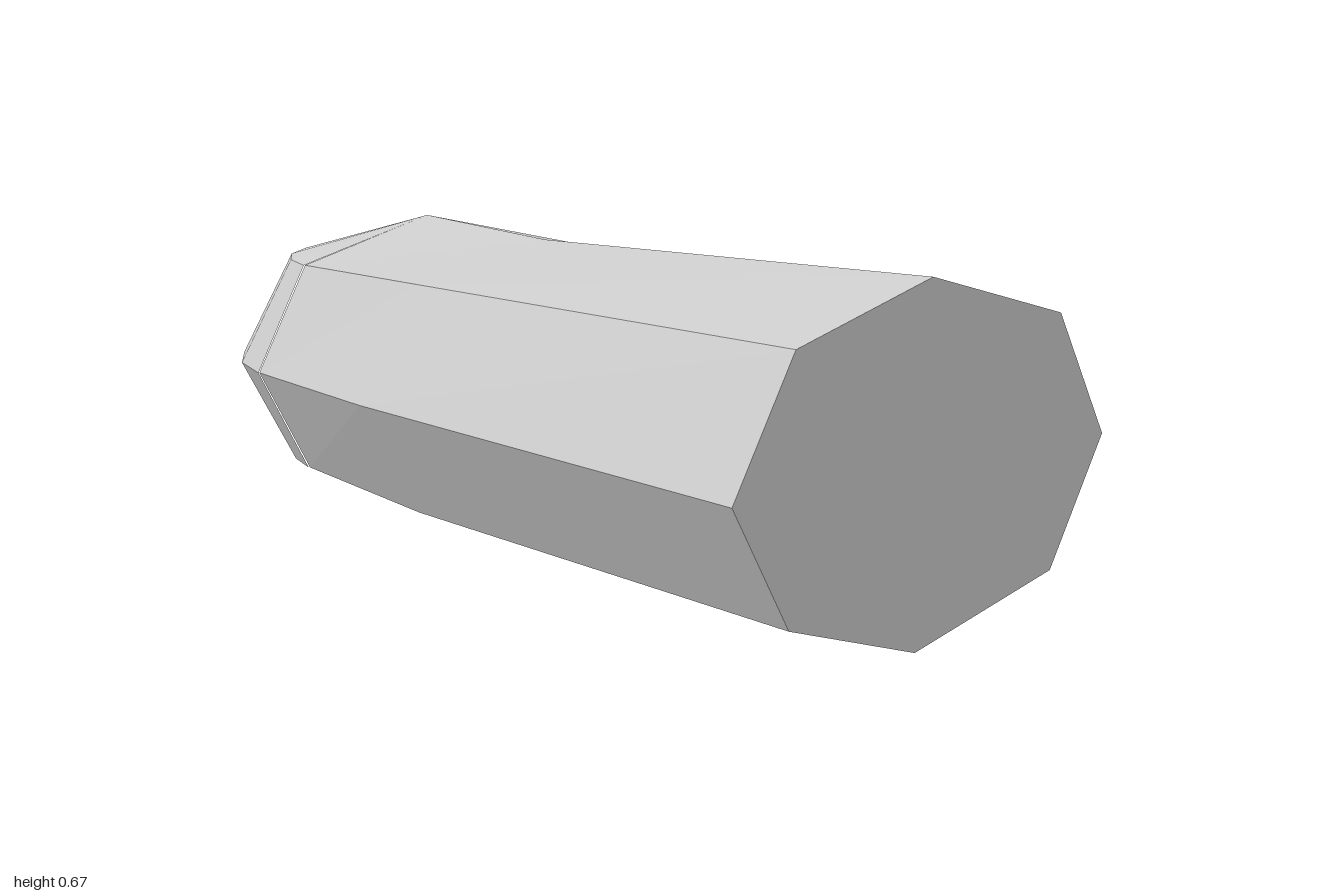
import * as THREE from 'three';

// Octagonal sections, counter-clockwise from the bottom ridge, ordered rear to front
const sections = [
  [[0, 0], [0.295, 0.085], [0.408, 0.3], [0.295, 0.515], [0, 0.6], [-0.29, 0.515], [-0.4, 0.3], [-0.29, 0.085]],
  [[0, 0], [0.295, 0.103], [0.409, 0.318], [0.295, 0.535], [0, 0.6], [-0.285, 0.535], [-0.413, 0.316], [-0.288, 0.09]],
  [[-0.01, 0.065], [0.295, 0.15], [0.408, 0.368], [0.295, 0.583], [0.005, 0.667], [-0.272, 0.583], [-0.39, 0.36], [-0.275, 0.15]],
];
const stations = [() => -0.6, () => -0.13, (x) => 0.983 - 0.044 * x]; // front end is slightly slanted

function buildBody() {
  const positions = [];
  const index = [];
  sections.forEach((ring, s) => ring.forEach(([x, y]) => positions.push(x, y, stations[s](x))));
  const n = 8;
  for (let s = 0; s < sections.length - 1; s++) {
    for (let i = 0; i < n; i++) {
      const a = s * n + i;
      const b = s * n + (i + 1) % n;
      index.push(a, b, a + n, b, b + n, a + n);
    }
  }
  // Front cap fanned from the bottom ridge
  const f = (sections.length - 1) * n;
  for (let i = 1; i < n - 1; i++) index.push(f, f + i, f + i + 1);
  const geometry = new THREE.BufferGeometry();
  geometry.setAttribute('position', new THREE.Float32BufferAttribute(positions, 3));
  geometry.setIndex(index);
  const flat = geometry.toNonIndexed();
  flat.computeVertexNormals();
  return flat;
}

export function createModel() {
  const group = new THREE.Group();
  group.name = 'roundedBar';
  const material = new THREE.MeshStandardMaterial({ color: 0xcccccc, flatShading: true });

  // Long faceted bar, bending slightly upward toward the front
  const body = new THREE.Mesh(buildBody(), material);
  body.name = 'body';
  group.add(body);

  // Rounded rear end: half a turn of the rear section
  const profile = [[0, 0], [0.293, 0.085], [0.402, 0.3], [0.293, 0.515], [0, 0.6]]
    .map(([r, y]) => new THREE.Vector2(r, y));
  const rear = new THREE.Mesh(new THREE.LatheGeometry(profile, 10, Math.PI / 2, Math.PI), material);
  rear.name = 'roundedRear';
  rear.position.z = -0.6;
  group.add(rear);

  return group;
}
